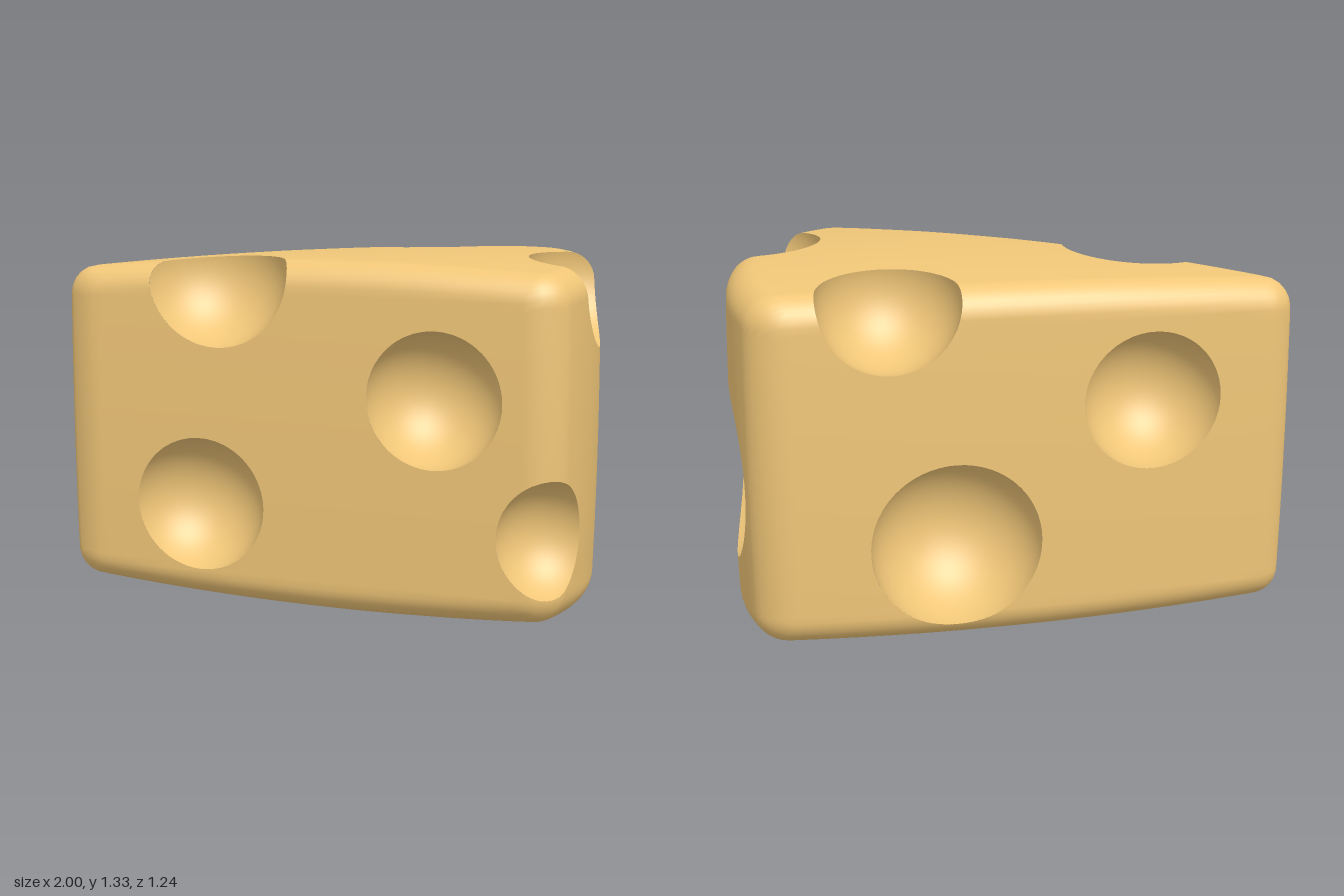
import * as THREE from 'three';
import { mergeVertices } from 'three/addons/utils/BufferGeometryUtils.js';

const MID = 0.665;    // half height of the wedge
const ROUND = 0.1;    // edge rounding
const CENTRE = new THREE.Vector3(0.35, MID, -0.1);

// Hollows: x, y, z, radius
const HOLES = [
  [-0.515, 1.27, 0.02, 0.28],   // front, upper edge
  [0.22, 0.84, 0.425, 0.253],   // front, middle
  [-0.59, 0.39, 0, 0.264],      // front, lower
  [0.61, 0.35, 0.68, 0.23],     // front corner
  [0.9, 1.255, 0.235, 0.265],   // rind, upper edge
  [1.2, 0.575, -0.195, 0.385],  // rind, large
  [0.444, 1.265, -0.54, 0.25],  // back, upper edge
  [0.22, 0.385, -0.586, 0.305], // back, lower
  [-0.48, 0.875, -0.525, 0.25], // back, near the tip
].map(([x, y, z, r]) => ({ c: new THREE.Vector3(x, y, z), r }));

const backZ = (x) => -0.57 - 0.08 * x + 0.03 * x * x;
const frontZ = (x) => 0.29 + 0.61 * x;

// Rounded wedge: negative inside, positive outside
function wedge({ x, y, z }) {
  const h = y - MID;
  const bulge = 0.025 * h * h;
  const sides = [
    backZ(x) - z + bulge,
    (z - frontZ(x)) / 1.171 + bulge,
    Math.hypot(x + 0.06, z + 0.17) - 1.06 + bulge,
    -1.012 - x,
    Math.abs(h) - MID + 0.03 * (x - 0.3) ** 2 + 0.09 * z * z,
  ];
  const u = sides.map((s) => Math.max(s + ROUND, 0));
  return Math.hypot(...u) - ROUND;
}

function wedgeNormal(p) {
  const e = 0.002;
  const slope = (axis) => {
    const a = p.clone(), b = p.clone();
    a[axis] += e;
    b[axis] -= e;
    return wedge(a) - wedge(b);
  };
  return new THREE.Vector3(slope('x'), slope('y'), slope('z')).normalize();
}

// Keeps the part of a polygon where field(p) >= 0
function clip(poly, field) {
  const d = poly.map(field);
  if (d.every((v) => v >= 0)) return poly;
  const out = [];
  poly.forEach((p, i) => {
    const j = (i + 1) % poly.length;
    if (d[i] >= 0) out.push(p);
    if ((d[i] >= 0) !== (d[j] >= 0)) out.push(p.clone().lerp(poly[j], d[i] / (d[i] - d[j])));
  });
  return out;
}

// Clips every triangle by all fields and rebuilds the surface with smooth normals
function cutGeometry(source, fields, normalAt, flip) {
  const pos = source.attributes.position, index = source.index;
  const points = [], normals = [];
  for (let i = 0; i < index.count; i += 3) {
    let poly = [0, 1, 2].map((k) => new THREE.Vector3().fromBufferAttribute(pos, index.getX(i + k)));
    if (flip) poly.reverse();
    for (const field of fields) {
      if (poly.length) poly = clip(poly, field);
    }
    const n = poly.map(normalAt);
    for (let k = 1; k + 1 < poly.length; k++) {
      for (const m of [0, k, k + 1]) {
        points.push(...poly[m].toArray());
        normals.push(...n[m].toArray());
      }
    }
  }
  const g = new THREE.BufferGeometry();
  g.setAttribute('position', new THREE.Float32BufferAttribute(points, 3));
  g.setAttribute('normal', new THREE.Float32BufferAttribute(normals, 3));
  return mergeVertices(g, 1e-5);
}

// Box squeezed to a wedge, then every vertex moved along its ray to the rounded surface
function wedgeGeometry() {
  const g = new THREE.BoxGeometry(2, 2 * MID, 1, 64, 44, 40);
  const pos = g.attributes.position;
  for (let i = 0; i < pos.count; i++) {
    const p = new THREE.Vector3().fromBufferAttribute(pos, i);
    p.z = THREE.MathUtils.lerp(backZ(p.x), Math.min(frontZ(p.x), 0.6), p.z + 0.5);
    p.y += MID;
    let lo = 0, hi = 1.6;
    for (let k = 0; k < 24; k++) {
      const t = (lo + hi) / 2;
      if (wedge(CENTRE.clone().lerp(p, t)) < 0) lo = t;
      else hi = t;
    }
    p.lerpVectors(CENTRE, p, lo);
    pos.setXYZ(i, p.x, p.y, p.z);
  }
  return g;
}

export function createModel() {
  const group = new THREE.Group();
  group.name = 'cheeseWedge';
  const material = new THREE.MeshStandardMaterial({ color: 0xf0c678 });

  // Outer skin with openings
  const openings = HOLES.map(({ c, r }) => (p) => p.distanceTo(c) - r);
  const body = new THREE.Mesh(cutGeometry(wedgeGeometry(), openings, wedgeNormal, false), material);
  body.name = 'cheeseBody';
  group.add(body);

  // Inward facing bowls, trimmed to the skin
  HOLES.forEach(({ c, r }, i) => {
    const ball = new THREE.SphereGeometry(r, 64, 40).translate(c.x, c.y, c.z);
    const inward = (p) => c.clone().sub(p).normalize();
    const hole = new THREE.Mesh(cutGeometry(ball, [(p) => -wedge(p)], inward, true), material);
    hole.name = `hole${i + 1}`;
    group.add(hole);
  });
  return group;
}
